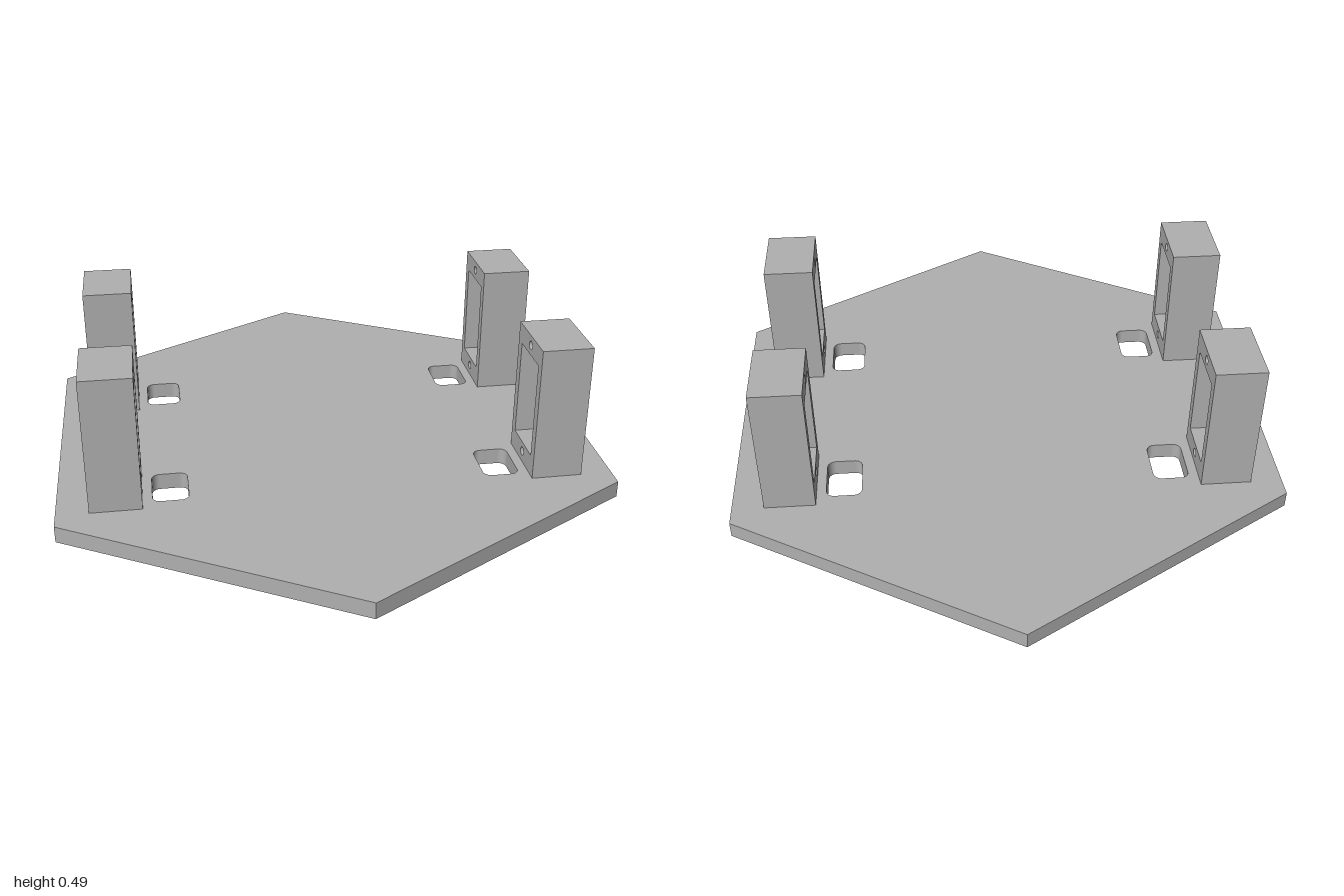
import * as THREE from 'three';

const PLATE = 0.053; // plate thickness
const GROOVE = 0.025; // depth of the groove under the plate

function hexagon(radius, Type = THREE.Shape) {
  const points = [];
  for (let i = 0; i < 6; i++) {
    const a = Math.PI / 2 + (i * Math.PI) / 3;
    points.push(new THREE.Vector2(radius * Math.cos(a), radius * Math.sin(a)));
  }
  return new Type(points);
}

function roundedSlot(cx, cy, w, h, r) {
  const p = new THREE.Path();
  const x = w / 2 - r, y = h / 2 - r;
  p.absarc(cx + x, cy + y, r, 0, Math.PI / 2);
  p.absarc(cx - x, cy + y, r, Math.PI / 2, Math.PI);
  p.absarc(cx - x, cy - y, r, Math.PI, Math.PI * 1.5);
  p.absarc(cx + x, cy - y, r, Math.PI * 1.5, Math.PI * 2);
  p.closePath();
  return p;
}

// Four cable slots, one beside each bracket
function addSlots(shape) {
  for (const sx of [-1, 1]) for (const sz of [-1, 1]) {
    shape.holes.push(roundedSlot(sx * 0.52, sz * 0.323, 0.112, 0.16, 0.025));
  }
  return shape;
}

export function createModel() {
  const model = new THREE.Group();
  const grey = new THREE.MeshStandardMaterial({ color: 0xb0b0b0 });
  grey.name = 'grey plastic';

  function add(name, geometry) {
    const mesh = new THREE.Mesh(geometry, grey);
    mesh.name = name;
    model.add(mesh);
    return mesh;
  }

  // Horizontal slab from a plan shape
  function slab(name, shape, y, height) {
    const g = new THREE.ExtrudeGeometry(shape, { depth: height, bevelEnabled: false, curveSegments: 8 });
    g.rotateX(-Math.PI / 2);
    g.translate(0, y, 0);
    return add(name, g);
  }

  // Hexagonal base: upper plate, with core and rim leaving a groove between them
  slab('basePlate', addSlots(hexagon(1)), GROOVE, PLATE - GROOVE);
  slab('baseCore', addSlots(hexagon(0.925)), 0, GROOVE);
  const rim = hexagon(1);
  rim.holes.push(hexagon(0.955, THREE.Path));
  slab('baseRim', rim, 0, GROOVE);

  // Bracket: upright frame with a window and two screw holes through it
  const frame = new THREE.Shape([
    new THREE.Vector2(-0.115, PLATE), new THREE.Vector2(0.115, PLATE),
    new THREE.Vector2(0.115, 0.491), new THREE.Vector2(-0.115, 0.491),
  ]);
  frame.holes.push(new THREE.Path([
    new THREE.Vector2(-0.083, 0.118), new THREE.Vector2(-0.083, 0.429),
    new THREE.Vector2(0.083, 0.429), new THREE.Vector2(0.083, 0.118),
  ]));
  for (const y of [0.087, 0.46]) {
    frame.holes.push(new THREE.Path().absarc(0, y, 0.014, 0, Math.PI * 2));
  }
  const bracket = new THREE.ExtrudeGeometry(frame, { depth: 0.16, bevelEnabled: false, curveSegments: 20 });
  bracket.translate(0, 0, -0.08);
  bracket.rotateY(Math.PI / 2);

  for (const [side, sx] of [['Left', 1], ['Right', -1]]) {
    for (const [end, sz] of [['front', 1], ['back', -1]]) {
      add(`${end}${side}Bracket`, bracket).position.set(sx * 0.686, 0, sz * 0.325);
    }
  }
  return model;
}
